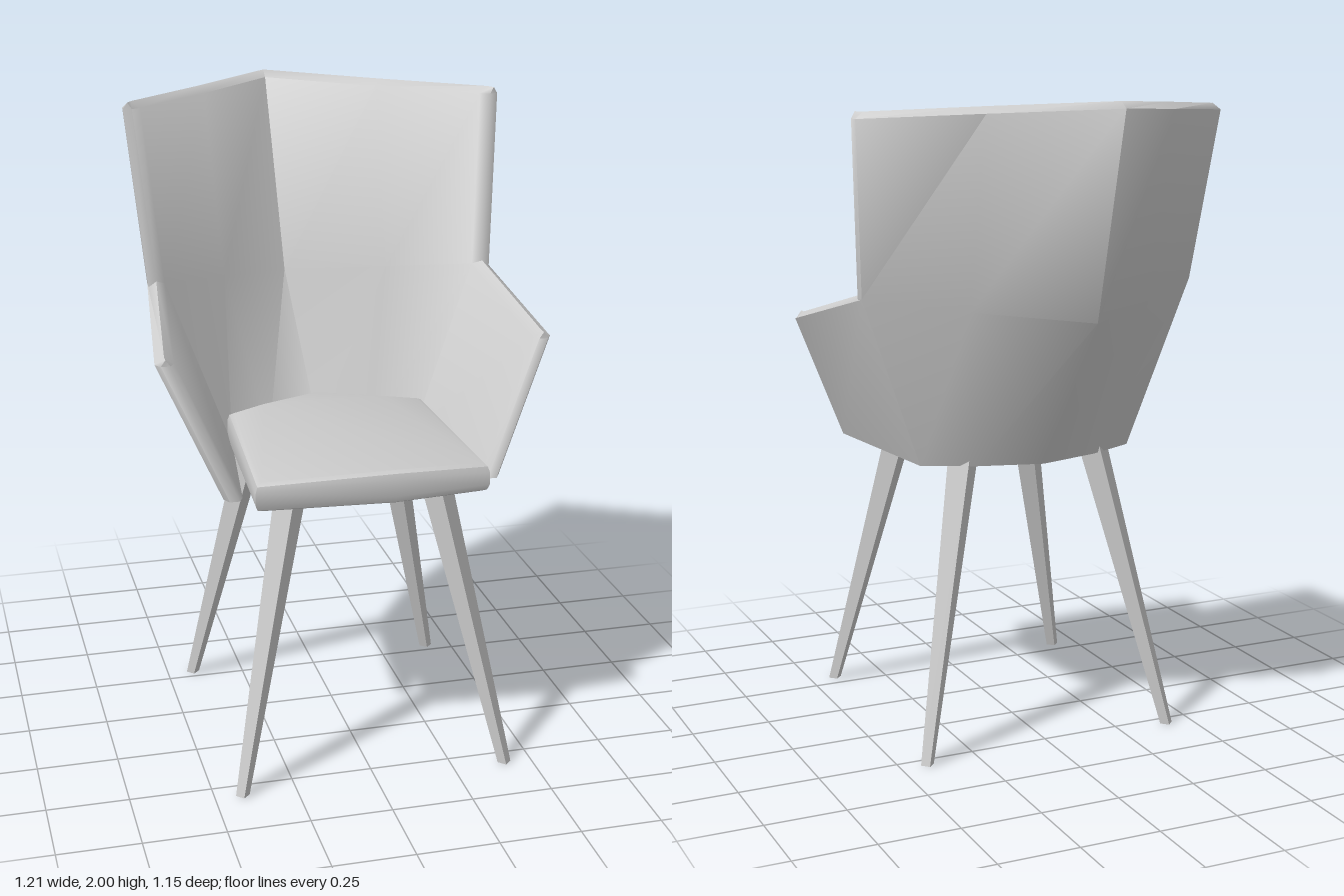
import * as THREE from 'three';
import { toCreasedNormals } from 'three/addons/utils/BufferGeometryUtils.js';

const material = new THREE.MeshStandardMaterial({ color: 0xcccccc, side: THREE.DoubleSide });
const THICK = 0.06;
const v = (x, y, z) => new THREE.Vector3(x, y, z);

// Closed wall section: up the outside, over a rounded crest, down the inside
function section(points, dir, from = 0, to = 1, shift = v(0, 0, 0)) {
  const at = (p, k) => p.clone().addScaledVector(dir, THICK * k).add(shift);
  const outer = points.map(p => at(p, from));
  const crest = at(points[points.length - 1], 0.5);
  crest.y += 0.02;
  const inner = points.map(p => at(p, to)).reverse();
  return [...outer, crest, ...inner];
}

// Skin a row of closed sections and cap both ends
function loft(sections, out) {
  const L = sections[0].length, n = (L - 1) / 2;
  const tri = (...pts) => pts.forEach(p => out.push(p.x, p.y, p.z));
  for (let i = 0; i < sections.length - 1; i++) {
    for (let j = 0; j < L; j++) {
      const k = (j + 1) % L, A = sections[i], B = sections[i + 1];
      tri(A[j], B[j], B[k]);
      tri(A[j], B[k], A[k]);
    }
  }
  const cap = s => {
    for (let j = 0; j < n - 1; j++) {
      tri(s[j], s[j + 1], s[L - 2 - j]);
      tri(s[j], s[L - 2 - j], s[L - 1 - j]);
    }
    tri(s[n - 1], s[n], s[n + 1]);
  };
  cap(sections[0]);
  // Reversed loop order with the same pairing, so the crest stays in the middle
  const e = sections[sections.length - 1];
  for (let j = 0; j < n - 1; j++) {
    tri(e[j], e[L - 2 - j], e[j + 1]);
    tri(e[j], e[L - 1 - j], e[L - 2 - j]);
  }
  tri(e[n - 1], e[n + 1], e[n]);
}

function shellGeometry() {
  const out = [];
  const mirror = p => v(-p.x, p.y, p.z);

  // Back columns from one wing to the other: bottom, waist, top
  const wing = [v(0.37, 0.89, -0.08), v(0.565, 1.42, -0.12), v(0.61, 1.95, -0.215)];
  const quarter = [v(0.2, 0.89, -0.18), v(0.28, 1.39, -0.325), v(0.26, 1.965, -0.397)];
  const ridge = [v(0, 0.89, -0.235), v(-0.05, 1.36, -0.49), v(-0.09, 1.98, -0.575)];
  const quarterR = [v(-0.2, 0.89, -0.18), v(-0.31, 1.39, -0.325), v(-0.35, 1.965, -0.397)];
  const wingDir = v(-0.87, 0, 0.3), quarterDir = v(-0.45, 0, 0.88);
  const wingShift = v(-0.015, 0, -0.025);
  loft([
    section(wing, wingDir, 0.25, 0.75),
    section(wing, wingDir, 0, 1, wingShift),
    section(quarter, quarterDir),
    section(ridge, v(0, 0, 1)),
    section(quarterR, mirror(quarterDir)),
    section(wing.map(mirror), mirror(wingDir), 0, 1, mirror(wingShift)),
    section(wing.map(mirror), mirror(wingDir), 0.25, 0.75),
  ], out);

  // Arms, running from the rounded front edge back to the wings
  const front = [v(0.425, 0.895, 0.42), v(0.605, 1.3, 0.34)];
  const frontDir = v(-0.95, 0, 0);
  const arm = side => {
    const m = side > 0 ? p => p : mirror;
    const pts = front.map(m), base = wing.slice(0, 2).map(m);
    return [
      section(pts, m(frontDir), 0.25, 0.75),
      section(pts, m(frontDir), 0, 1, v(0, 0, -0.025)),
      section(base, m(wingDir), 0, 1, m(wingShift)),
    ];
  };
  loft(arm(1), out);
  loft(arm(-1).reverse(), out);

  const geometry = new THREE.BufferGeometry();
  geometry.setAttribute('position', new THREE.Float32BufferAttribute(out, 3));
  return toCreasedNormals(geometry, Math.PI / 3);
}

function seatGeometry() {
  const outline = [
    [-0.355, 0.52], [0.06, 0.55], [0.355, 0.52], [0.32, -0.07],
    [0.21, -0.125], [0, -0.22], [-0.2, -0.14], [-0.32, -0.07],
  ];
  const shape = new THREE.Shape(outline.map(([x, z]) => new THREE.Vector2(x, -z)));
  const geometry = new THREE.ExtrudeGeometry(shape, {
    depth: 0.06, bevelThickness: 0.025, bevelSize: 0.02, bevelOffset: -0.02, bevelSegments: 2,
  });
  geometry.rotateX(-Math.PI / 2).translate(0, 0.917, 0);
  // Drop the front corners of the cushion slightly
  const p = geometry.attributes.position;
  for (let i = 0; i < p.count; i++) {
    if (p.getY(i) > 0.95 && p.getZ(i) > 0.3) {
      p.setY(i, p.getY(i) - 0.005 - 0.05 * Math.abs(p.getX(i)));
    }
  }
  return toCreasedNormals(geometry, Math.PI / 4.5);
}

// Four-sided tapered leg between two level ends
function legGeometry(top, foot) {
  const geometry = new THREE.CylinderGeometry(0.05, 0.021, 1, 4).toNonIndexed();
  const p = geometry.attributes.position;
  for (let i = 0; i < p.count; i++) {
    const c = foot.clone().lerp(top, p.getY(i) + 0.5);
    p.setXYZ(i, p.getX(i) + c.x, c.y, p.getZ(i) + c.z);
  }
  geometry.computeVertexNormals();
  return geometry;
}

export function createModel() {
  const model = new THREE.Group();
  const add = (name, geometry) => {
    const mesh = new THREE.Mesh(geometry, material);
    mesh.name = name;
    model.add(mesh);
  };
  add('shell', shellGeometry());
  add('seat', seatGeometry());
  for (const [side, s] of [['Left', 1], ['Right', -1]]) {
    add('frontLeg' + side, legGeometry(v(s * 0.222, 0.91, 0.395), v(s * 0.415, 0, 0.558)));
    add('backLeg' + side, legGeometry(v(s * 0.222, 0.91, -0.125), v(s * 0.415, 0, -0.288)));
  }
  return model;
}
